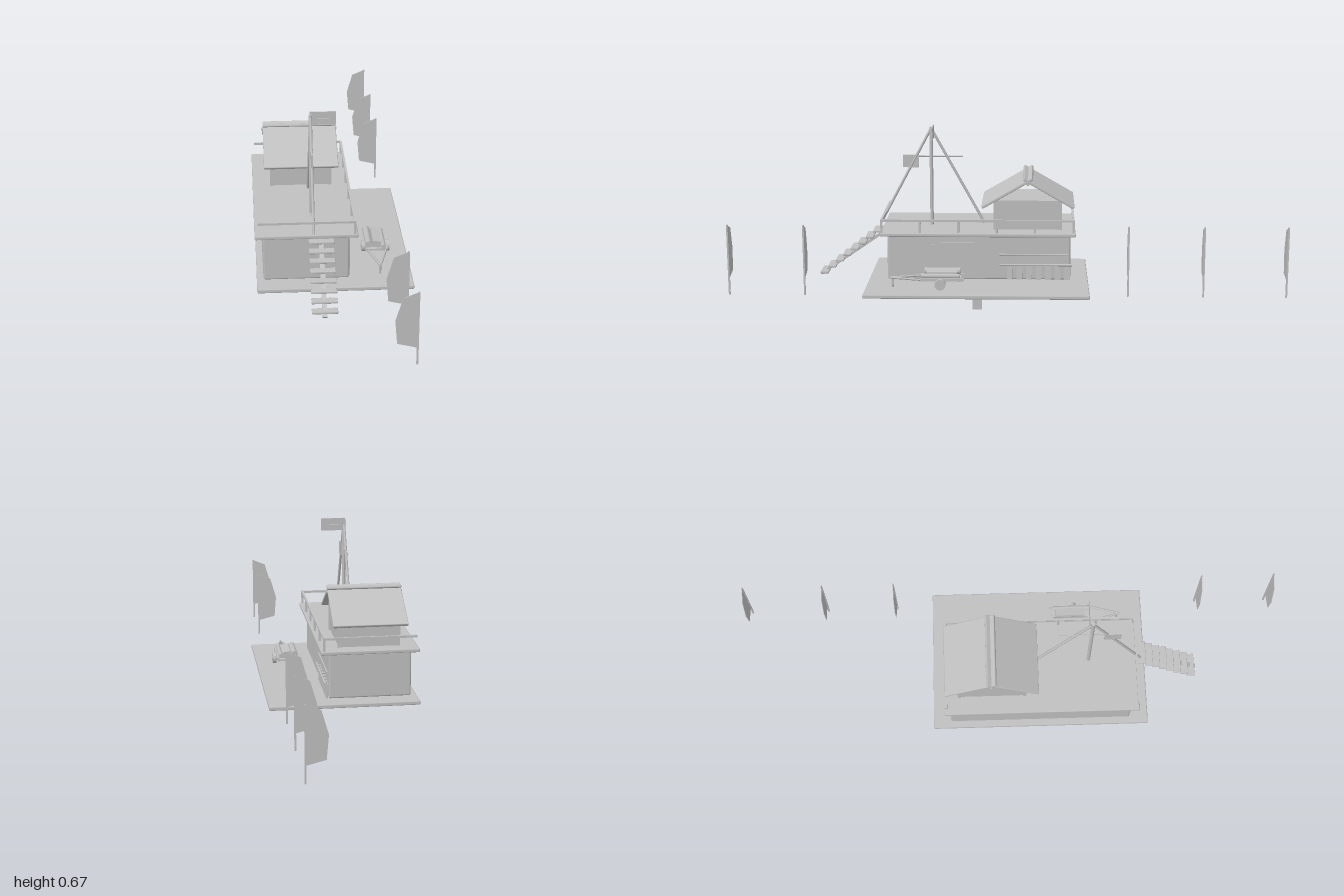
import * as THREE from 'three';
import { RoundedBoxGeometry } from 'three/addons/geometries/RoundedBoxGeometry.js';

const grey = new THREE.MeshStandardMaterial({ color: 0xc0c0c0 });
grey.name = 'light grey';
grey.side = THREE.DoubleSide;

export function createModel() {
  const model = new THREE.Group();
  model.name = 'deckhouseOutpost';

  const add = (name, geometry, parent = model) => {
    const mesh = new THREE.Mesh(geometry, grey);
    mesh.name = name;
    parent.add(mesh);
    return mesh;
  };
  // Box given by its min and max on each axis, optionally rounded
  const box = (name, x0, x1, y0, y1, z0, z1, parent = model, r = 0) => {
    const s = [x1 - x0, y1 - y0, z1 - z0];
    const m = add(name, r ? new RoundedBoxGeometry(...s, 1, r) : new THREE.BoxGeometry(...s), parent);
    m.position.set((x0 + x1) / 2, (y0 + y1) / 2, (z0 + z1) / 2);
    return m;
  };
  // Round bar between two points
  const bar = (name, a, b, r, parent = model, sides = 8) => {
    const p = new THREE.Vector3(...a), q = new THREE.Vector3(...b);
    const d = q.clone().sub(p);
    const m = add(name, new THREE.CylinderGeometry(r, r, d.length(), sides), parent);
    m.position.copy(p).add(q).multiplyScalar(0.5);
    m.quaternion.setFromUnitVectors(new THREE.Vector3(0, 1, 0), d.normalize());
    return m;
  };
  const group = (name) => {
    const g = new THREE.Group();
    g.name = name;
    model.add(g);
    return g;
  };

  // Platform, cabin, roof deck and the loose cube below
  box('platform', -0.268, 0.273, 0.096, 0.111, -0.295, 0.513, model, 0.004);
  box('cabin', -0.245, 0.053, 0.111, 0.278, -0.23, 0.444, model, 0.007);
  box('deck', -0.273, 0.082, 0.277, 0.291, -0.248, 0.468, model, 0.004);
  box('markerCube', 0.034, 0.069, 0, 0.037, 0.096, 0.13);

  // Door panels on the cabin side
  [[0.27, 0.43], [0.08, 0.25]].forEach(([z0, z1]) => {
    box('doorPanel', 0.052, 0.056, 0.115, 0.25, z0, z1);
    box('doorTrack', 0.052, 0.06, 0.225, 0.245, z0, z0 + 0.012);
  });

  // Rack with leaning boards beside the cabin
  const rack = group('boardRack');
  bar('rackRail', [0.066, 0.17, 0.03], [0.066, 0.17, -0.235], 0.004, rack);
  for (let i = 0; i < 7; i++) {
    const z = 0.0 - i * 0.035;
    bar('rackBracket', [0.05, 0.17, z], [0.066, 0.17, z], 0.003, rack);
    const board = box('leaningBoard', 0.055, 0.061, 0.113, 0.165, z - 0.018, z + 0.004, rack);
    board.rotation.z = 0.08;
  }
  bar('upperRail', [0.057, 0.207, 0.03], [0.057, 0.207, -0.22], 0.003, rack);

  // Hut with corner posts
  const hut = group('hut');
  box('hutWalls', -0.205, 0.012, 0.291, 0.4, -0.194, 0.049, hut);
  for (const x of [-0.209, 0.002])
    for (const z of [-0.198, 0.041])
      box('cornerPost', x, x + 0.015, 0.291, 0.402, z, z + 0.012, hut);

  // Gable roof: two slabs crossing at the ridge
  for (const s of [1, -1]) {
    const slab = add('roofSlab', new RoundedBoxGeometry(0.27, 0.011, 0.215, 1, 0.003), hut);
    slab.rotation.x = s * Math.PI / 6;
    slab.position.set(-0.096, 0.432, -0.073 + s * 0.076);
  }
  bar('ridgePole', [-0.236, 0.465, -0.073], [0.043, 0.465, -0.073], 0.005, hut);

  // Railing round the back, left side and front of the deck
  const railing = group('railing');
  const [rx, rz0, rz1, ry] = [0.07, -0.24, 0.462, 0.336];
  box('frontRail', -0.262, 0.074, ry - 0.004, ry + 0.004, rz1 - 0.004, rz1 + 0.004, railing);
  box('backRail', -0.262, 0.074, ry - 0.004, ry + 0.004, rz0 - 0.004, rz0 + 0.004, railing);
  box('sideRail', rx - 0.004, rx + 0.004, ry - 0.004, ry + 0.004, rz0, rz1, railing);
  for (let i = 0; i < 6; i++) {
    const z = rz0 + (rz1 - rz0) * i / 5;
    box('railPost', rx - 0.004, rx + 0.004, 0.29, ry, z - 0.004, z + 0.004, railing);
  }

  // Mast with two stays, a cross arm and two signs
  const mast = group('mast');
  const mx = -0.072, mz = 0.287;
  bar('mastPole', [mx, 0.29, mz], [mx, 0.66, mz], 0.0065, mast, 10);
  bar('frontStay', [mx, 0.655, mz], [mx, 0.298, 0.478], 0.005, mast);
  bar('backStay', [mx, 0.655, mz], [mx, 0.298, 0.09], 0.005, mast);
  bar('crossArm', [mx, 0.55, 0.17], [mx, 0.55, 0.39], 0.003, mast);
  box('sideSign', mx - 0.003, mx + 0.003, 0.508, 0.555, 0.333, 0.393, mast);
  box('topSignUpper', -0.075, 0.016, 0.645, 0.668, 0.276, 0.281, mast);
  box('topSignLower', -0.075, 0.016, 0.621, 0.644, 0.276, 0.281, mast);

  // Stairs on a single central stringer
  const stairs = group('stairs');
  const run = new THREE.Vector3(0, 0.105 - 0.272, 0.705 - 0.46);
  const stringer = add('stringer', new THREE.BoxGeometry(0.016, 0.01, run.length()), stairs);
  stringer.position.set(-0.047, 0.189, 0.582);
  stringer.rotation.x = Math.atan2(0.167, 0.245);
  for (let i = 0; i < 8; i++) {
    const y = 0.277 - i * 0.0225, z = 0.487 + i * 0.0285;
    box('tread', -0.09, -0.003, y - 0.004, y + 0.004, z - 0.015, z + 0.015, stairs, 0.002);
  }

  // Trailer with its drawbar, wheels and load
  const trailer = group('trailer');
  box('trailerBed', 0.13, 0.195, 0.14, 0.147, 0.165, 0.3, trailer);
  for (const s of [1, -1]) {
    const x = 0.162 + s * 0.033;
    box('trailerRail', x - 0.004, x + 0.004, 0.142, 0.153, 0.155, 0.312, trailer);
    bar('drawbar', [x, 0.146, 0.305], [0.163, 0.146, 0.425], 0.004, trailer);
    const wx = 0.162 + s * 0.043;
    bar('tyre', [wx - 0.007, 0.131, 0.24], [wx + 0.007, 0.131, 0.24], 0.02, trailer, 16);
    bar('hub', [wx - 0.009, 0.131, 0.24], [wx + 0.009, 0.131, 0.24], 0.008, trailer, 10);
  }
  bar('axle', [0.12, 0.131, 0.24], [0.204, 0.131, 0.24], 0.004, trailer);
  bar('jackLeg', [0.163, 0.111, 0.415], [0.163, 0.148, 0.415], 0.004, trailer);
  bar('loadLog', [0.133, 0.164, 0.17], [0.133, 0.164, 0.3], 0.013, trailer);
  bar('loadPipe', [0.185, 0.158, 0.17], [0.185, 0.158, 0.31], 0.009, trailer);
  const crate = box('loadCrate', 0.147, 0.178, 0.148, 0.172, 0.18, 0.29, trailer);
  crate.rotation.z = -0.15;

  // Row of feather flags
  const cloth = new THREE.Shape([
    [0.223, 0.351], [0.175, 0.331], [0.152, 0.252], [0.159, 0.171], [0.223, 0.155],
  ].map(([x, y]) => new THREE.Vector2(x, y)));
  for (const z of [0.995, 0.724, -0.432, -0.7, -0.995]) {
    const flag = group('featherFlag');
    box('flagPole', 0.221, 0.227, 0.096, 0.352, z - 0.003, z + 0.003, flag);
    add('flagCloth', new THREE.ExtrudeGeometry(cloth, { depth: 0.002, bevelEnabled: false }), flag)
      .position.z = z - 0.001;
  }
  return model;
}
